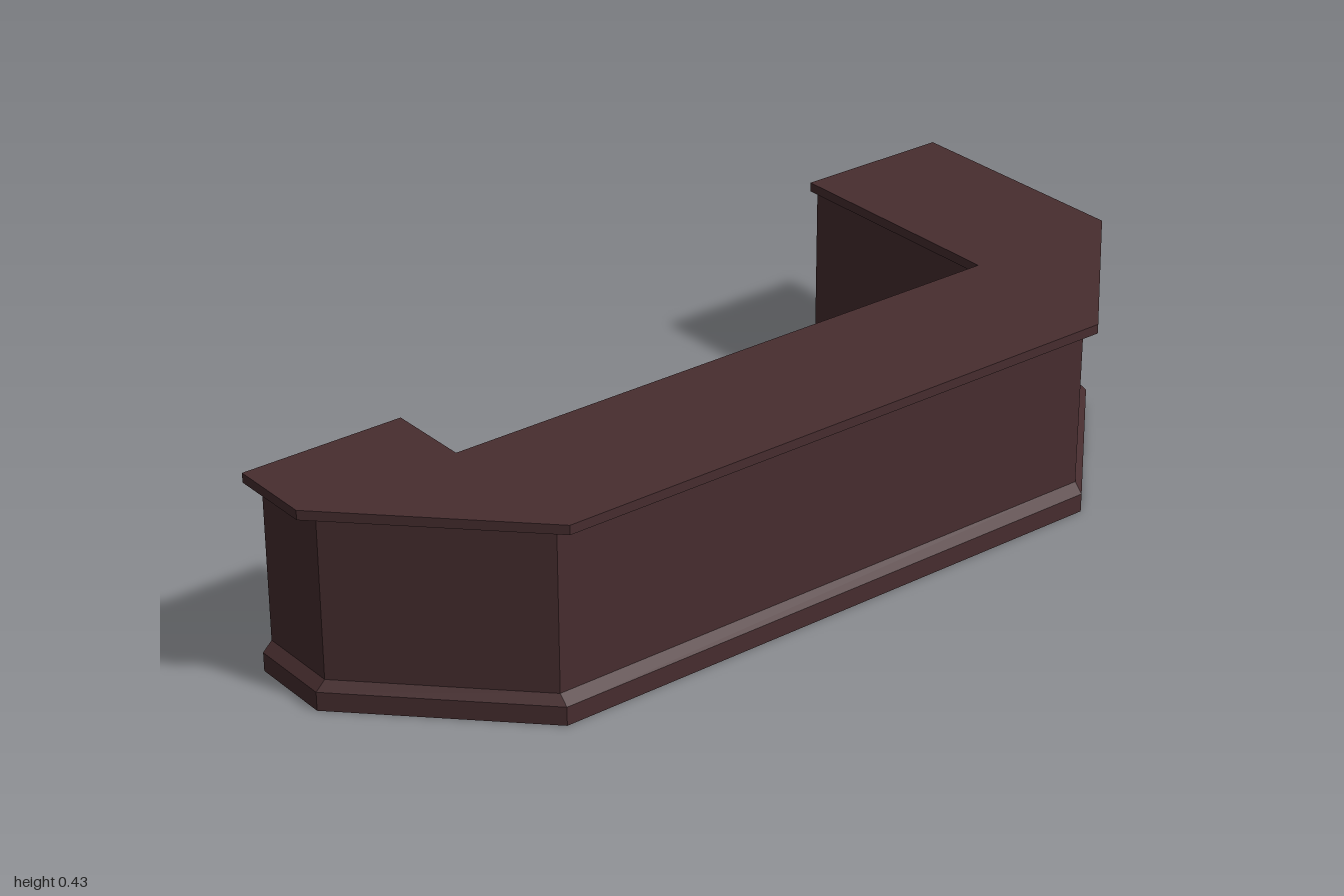
import * as THREE from 'three';

// Counter footprint as [x, z]: 'out' is the overhang of the outer faces, 'inset' pulls the inner faces in
function outline(out, inset) {
  const x = 0.96 + out, z = 0.4 + out, xi = 0.65 + inset, zi = 0.09 + inset;
  return [
    [-x, -0.09], [-x, 0.09], [-0.65, z], [0.65, z], [x, 0.09], [x, -0.44],
    [xi, -0.44], [xi, zi], [-xi, zi], [-xi, -0.09],
  ];
}

// Closed solid between a lower and an upper footprint, with flat faces
function loft(lower, upper, y0, y1) {
  const pos = [];
  const put = ([x, z], y) => pos.push(x, y, z);
  lower.forEach((a, i) => {
    const j = (i + 1) % lower.length;
    put(a, y0); put(lower[j], y0); put(upper[j], y1);
    put(a, y0); put(upper[j], y1); put(upper[i], y1);
  });
  const flat = lower.map(([x, z]) => new THREE.Vector2(x, -z));
  for (const [a, b, c] of THREE.ShapeUtils.triangulateShape(flat, [])) {
    put(upper[a], y1); put(upper[b], y1); put(upper[c], y1);
    put(lower[a], y0); put(lower[c], y0); put(lower[b], y0);
  }
  const geo = new THREE.BufferGeometry();
  geo.setAttribute('position', new THREE.Float32BufferAttribute(pos, 3));
  geo.computeVertexNormals();
  return geo;
}

export function createModel() {
  const group = new THREE.Group();
  group.name = 'counter';
  const wood = new THREE.MeshStandardMaterial({ color: 0x472d2f });
  wood.name = 'darkWood';

  const base = outline(0.02, 0);
  const body = outline(0, 0.02);
  const top = outline(0.04, 0);

  const add = (name, lower, upper, y0, y1) => {
    const mesh = new THREE.Mesh(loft(lower, upper, y0, y1), wood);
    mesh.name = name;
    group.add(mesh);
  };
  add('plinth', base, base, 0, 0.04);
  add('plinthBevel', base, body, 0.04, 0.06);
  add('body', body, body, 0.06, 0.41);
  add('countertop', top, top, 0.41, 0.43);
  return group;
}
